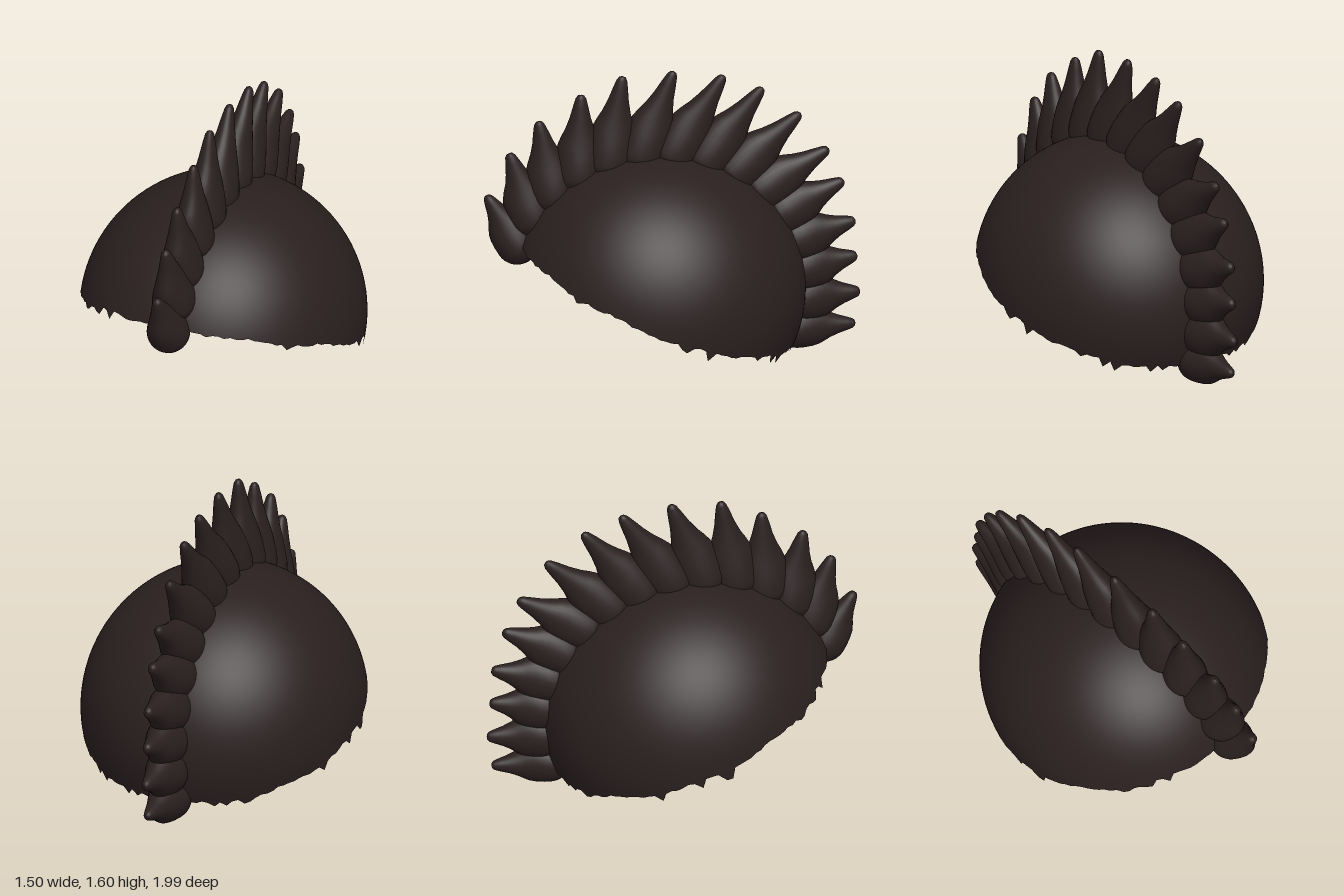
import * as THREE from 'three';

const TILT = 0.3715;                       // backward tilt of the cap
const CENTER = new THREE.Vector3(0, 0.39, 0.075);
const RADII = new THREE.Vector3(0.752, 0.757, 0.787);
const X_AXIS = new THREE.Vector3(1, 0, 0);

// spike tips from forehead to nape, as [z, y]
const TIPS = [
  [0.975, 0.94], [0.855, 1.175], [0.7, 1.35], [0.475, 1.49], [0.255, 1.585],
  [-0.015, 1.6], [-0.28, 1.565], [-0.485, 1.485], [-0.685, 1.33], [-0.835, 1.12],
  [-0.915, 0.935], [-0.975, 0.705], [-0.985, 0.505], [-1.0, 0.3], [-0.975, 0.12],
];

// spike cross-sections: [position along axis, half width across, half width along the crest]
const PROFILE = [
  [0, 0.115, 0.128], [0.12, 0.108, 0.128], [0.25, 0.094, 0.124], [0.36, 0.081, 0.115],
  [0.46, 0.07, 0.098], [0.56, 0.06, 0.077], [0.7, 0.047, 0.056], [0.85, 0.034, 0.04],
  [0.95, 0.024, 0.028], [0.985, 0.015, 0.018], [1, 0.0005, 0.0005],
];

function seeded(seed) {
  return () => (seed = (seed * 16807) % 2147483647) / 2147483647;
}

// half-ellipsoid cap with a ragged hairline
function makeCap(material) {
  const cols = 150, rows = 28, rand = seeded(41);
  const geo = new THREE.SphereGeometry(1, cols, rows, 0, Math.PI * 2, 0, Math.PI / 2);
  const jag = Array.from({ length: cols }, (_, i) => {
    const u = (i / cols) * Math.PI * 2;
    const drift = 0.015 * Math.abs(Math.cos(u)) - 0.02 * Math.max(0, Math.sin(u));
    const tooth = rand() > 0.86 ? 0.03 + rand() * 0.04 : 0;
    return drift + tooth + rand() * 0.018 + 0.01 * Math.sin(u * 11);
  });
  const pos = geo.attributes.position;
  for (let i = 0; i <= cols; i++) {
    const u = (i / cols) * Math.PI * 2, a = Math.PI / 2 + jag[i % cols];
    pos.setXYZ(rows * (cols + 1) + i, -Math.cos(u) * Math.sin(a), Math.cos(a), Math.sin(u) * Math.sin(a));
  }
  geo.scale(RADII.x, RADII.y, RADII.z);
  geo.rotateX(-TILT);
  geo.translate(CENTER.x, CENTER.y, CENTER.z);
  const cap = new THREE.Mesh(geo, material);
  cap.name = 'hairCap';
  return cap;
}

// one spike: rounded root bulb lofted into a blunt, narrow tip
function makeSpike(base, tip, spread, material) {
  const axis = tip.clone().sub(base);
  const length = axis.length();
  axis.normalize();
  const along = new THREE.Vector3().crossVectors(axis, X_AXIS);
  const rings = [];
  for (let k = 0; k < 8; k++) {            // bulb
    const a = (k / 8) * Math.PI / 2, s = Math.max(Math.sin(a), 0.004);
    rings.push([-0.115 * Math.cos(a), 0.115 * s, 0.128 * s]);
  }
  PROFILE.forEach(([t, w, d]) => rings.push([t * length, w, d]));

  const sides = 28, points = [], index = [];
  rings.forEach(([h, w, d], r) => {
    for (let s = 0; s < sides; s++) {
      const a = (s / sides) * Math.PI * 2;
      points.push(base.clone().addScaledVector(axis, h)
        .addScaledVector(X_AXIS, Math.cos(a) * w)
        .addScaledVector(along, Math.sin(a) * d * spread));
      if (r === 0) continue;
      const n = (s + 1) % sides, lo = (r - 1) * sides, hi = r * sides;
      index.push(lo + s, lo + n, hi + n, lo + s, hi + n, hi + s);
    }
  });
  const geo = new THREE.BufferGeometry().setFromPoints(points);
  geo.setIndex(index);
  geo.computeVertexNormals();
  return new THREE.Mesh(geo, material);
}

export function createModel() {
  const hair = new THREE.MeshStandardMaterial({ color: 0x2a1f1f, side: THREE.DoubleSide });
  hair.name = 'darkBrownHair';
  const model = new THREE.Group();
  model.name = 'mohawkHair';
  model.add(makeCap(hair));

  // crest of overlapping spikes rooted along the middle of the cap
  const crest = new THREE.Group();
  crest.name = 'crest';
  const last = TIPS.length - 1;
  TIPS.forEach(([z, y], i) => {
    const a = THREE.MathUtils.degToRad(-1 + (180 * i) / last);
    const base = new THREE.Vector3(0, Math.sin(a) * RADII.y, Math.cos(a) * RADII.z)
      .applyAxisAngle(X_AXIS, -TILT).add(CENTER);
    const spread = i === 0 || i === last ? 0.9 : 1;
    const spike = makeSpike(base, new THREE.Vector3(0, y, z), spread, hair);
    spike.name = `spike${i + 1}`;
    crest.add(spike);
  });
  model.add(crest);
  return model;
}
